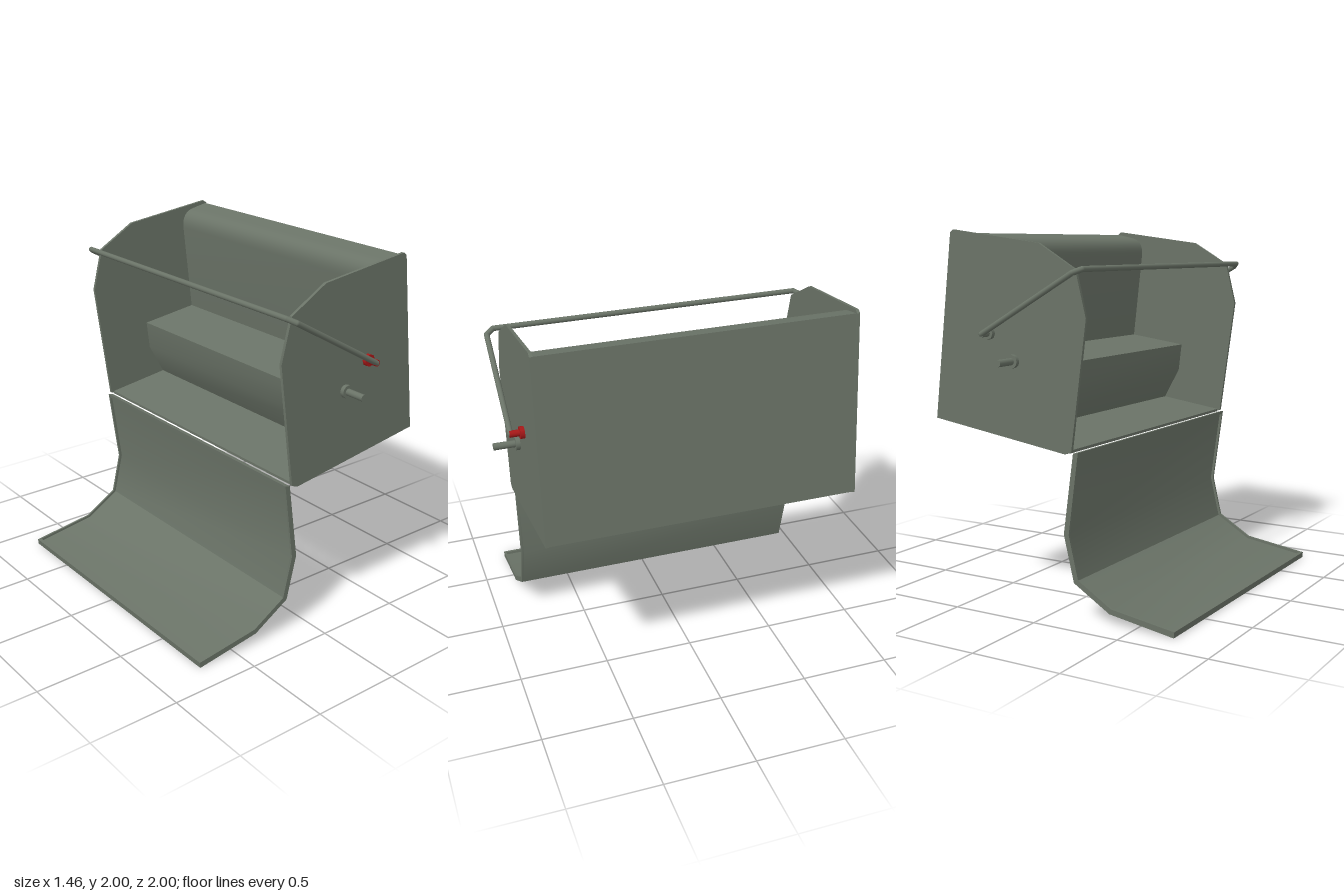
import * as THREE from 'three';
import { toCreasedNormals } from 'three/addons/utils/BufferGeometryUtils.js';

const paint = new THREE.MeshStandardMaterial({ color: 0x6a7367, side: THREE.DoubleSide });
const red = new THREE.MeshStandardMaterial({ color: 0xa81818 });
const UP = new THREE.Vector3(0, 1, 0);

function add(parent, name, geometry, material = paint) {
  const mesh = new THREE.Mesh(geometry, material);
  mesh.name = name;
  parent.add(mesh);
  return mesh;
}

// Extrude an x/y outline from z0 to z1
function slab(parent, name, points, z0, z1) {
  const shape = new THREE.Shape(points.map(p => new THREE.Vector2(...p)));
  let g = new THREE.ExtrudeGeometry(shape, { depth: z1 - z0, bevelEnabled: false });
  g.translate(0, 0, z0);
  return add(parent, name, toCreasedNormals(g, 0.6));
}

// Round bar between two points
function rod(parent, name, a, b, r, material = paint, sides = 12) {
  const p = new THREE.Vector3(...a), q = new THREE.Vector3(...b);
  const dir = q.clone().sub(p);
  const mesh = add(parent, name, new THREE.CylinderGeometry(r, r, dir.length(), sides), material);
  mesh.position.copy(p).add(q).multiplyScalar(0.5);
  mesh.quaternion.setFromUnitVectors(UP, dir.normalize());
  return mesh;
}

export function createModel() {
  const model = new THREE.Group();
  model.name = 'openBin';

  // Tilted side plates
  const plate = [[-0.147, 0.88], [-0.11, 0.866], [0.725, 0.99], [0.605, 1.985], [0.585, 2.0],
    [0.04, 1.93], [-0.18, 1.80], [-0.24, 1.56]];
  slab(model, 'leftEndPlate', plate, 0.845, 0.862);
  slab(model, 'rightEndPlate', plate, -0.862, -0.845);

  // Body: floor, rear wall, rounded top and stepped inner face
  const nose = new THREE.QuadraticBezierCurve(new THREE.Vector2(0.51, 1.965),
    new THREE.Vector2(0.415, 1.95), new THREE.Vector2(0.425, 1.85)).getPoints(8).map(p => [p.x, p.y]);
  const body = [[-0.13, 0.87], [0.72, 0.99], [0.598, 1.983], ...nose,
    [0.485, 1.335], [0.13, 1.285], [0.15, 1.12], [0.25, 0.94], [-0.13, 0.885]];
  slab(model, 'body', body, -0.845, 0.845);

  // Hanging lid: thin sheet with a lip around its edge
  const lid = new THREE.Group();
  lid.name = 'lid';
  model.add(lid);
  const outer = [[-0.143, 0.87], [-0.083, 0.44], [-0.143, 0.19], [-0.357, 0.06], [-0.73, 0]];
  const inner = [[-0.173, 0.876], [-0.113, 0.44], [-0.168, 0.208], [-0.366, 0.087], [-0.733, 0.032]];
  const band = (t) => [...outer, ...outer.map((p, i) =>
    [p[0] + (inner[i][0] - p[0]) * t, p[1] + (inner[i][1] - p[1]) * t]).reverse()];
  slab(lid, 'lidSheet', band(0.5), -0.828, 0.828);
  slab(lid, 'lidLeftLip', band(1), 0.828, 0.84);
  slab(lid, 'lidRightLip', band(1), -0.84, -0.828);
  slab(lid, 'lidFrontLip', [[-0.73, 0], [-0.712, 0.003], [-0.715, 0.035], [-0.733, 0.032]], -0.828, 0.828);
  slab(lid, 'lidHingeLip', [[-0.143, 0.87], [-0.173, 0.876], [-0.171, 0.858], [-0.141, 0.855]], -0.828, 0.828);

  // Bail handle with cut corners
  const handle = new THREE.Group();
  handle.name = 'handle';
  model.add(handle);
  const half = [[0.355, 1.465, 0.932], [-0.2, 1.785, 0.922], [-0.232, 1.803, 0.88]];
  const path = [...half, ...half.map(([x, y, z]) => [x, y, -z]).reverse()];
  path.forEach((p, i) => {
    add(handle, 'handleJoint', new THREE.SphereGeometry(0.015, 12, 8)).position.set(...p);
    if (i) rod(handle, 'handleBar', path[i - 1], p, 0.015);
  });

  // Pivot bolts and support pins at both ends
  for (const s of [1, -1]) {
    const m = s > 0 ? red : paint;
    rod(model, 'pivotCollar', [0.355, 1.465, s * 0.86], [0.355, 1.465, s * 0.885], 0.034, m, 8);
    rod(model, 'pivotBolt', [0.355, 1.465, s * 0.86], [0.355, 1.465, s * 0.938], 0.018, m);
    rod(model, 'pinCollar', [0.205, 1.325, s * 0.86], [0.205, 1.325, s * 0.885], 0.036);
    rod(model, 'supportPin', [0.205, 1.325, s * 0.86], [0.205, 1.325, s], 0.019);
  }
  return model;
}
